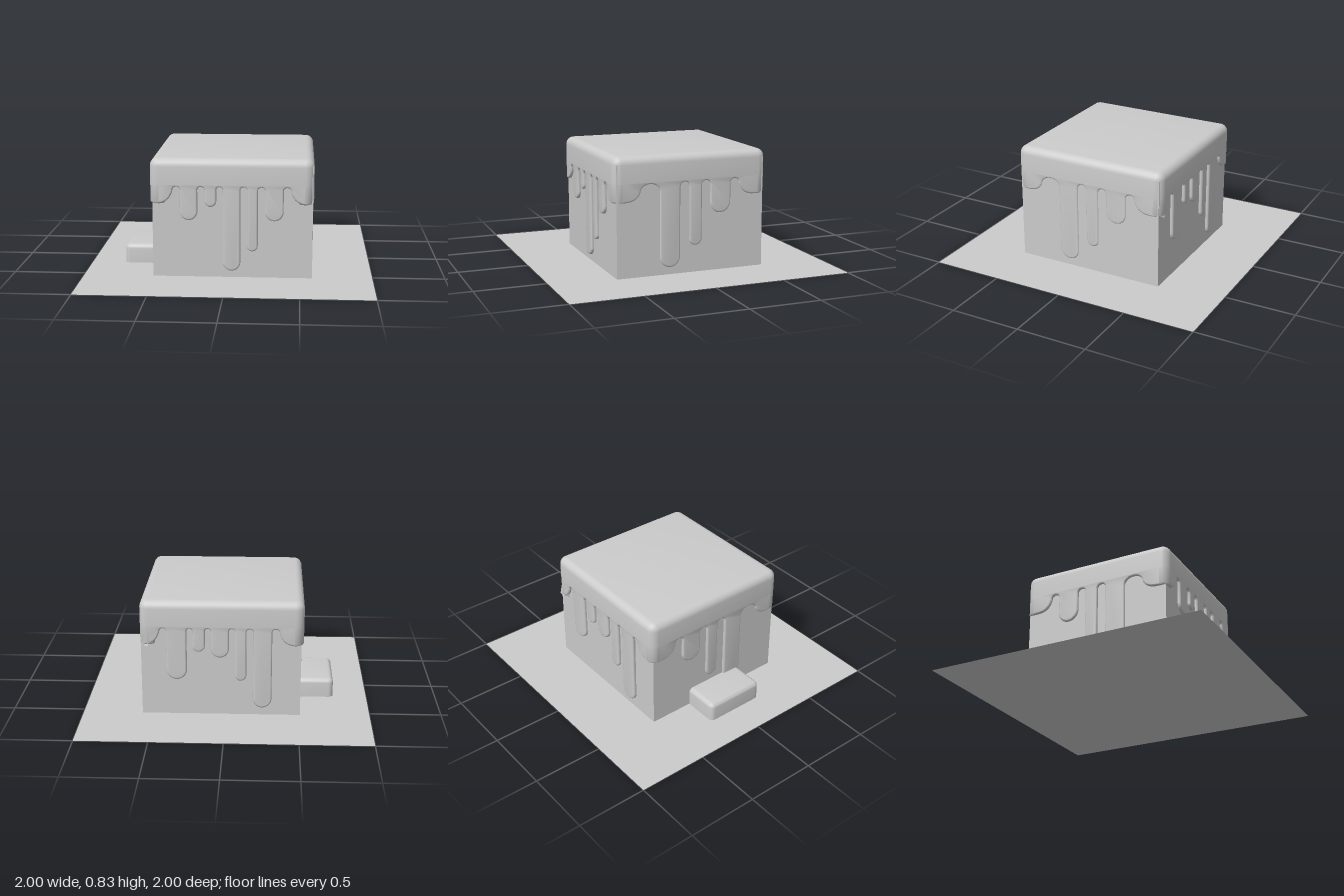
import * as THREE from 'three';
import { toCreasedNormals } from 'three/addons/utils/BufferGeometryUtils.js';

const HALF = 0.5625;   // half width of the icing
const CORNER = 0.06;   // radius of its upright corners
const HEM = 0.52;      // lower edge of the icing at the corners
const ARCH = 0.638;    // top of the gaps between drips

const grey = new THREE.MeshStandardMaterial({ color: 0xcccccc });
const greyThin = new THREE.MeshStandardMaterial({ color: 0xcccccc, side: THREE.DoubleSide });

function mesh(name, geometry, material = grey) {
  const m = new THREE.Mesh(geometry, material);
  m.name = name;
  return m;
}

// Open-bottomed block with rounded upright corners and a rounded top edge
function softBlock(w, d, r, edge, y0, y1, seg = 6) {
  const levels = [[y0, 0]];
  for (let k = 0; k <= seg; k++) {
    const a = (k / seg) * Math.PI / 2;
    levels.push([y1 - edge + edge * Math.sin(a), edge * (1 - Math.cos(a))]);
  }
  const pos = [], idx = [], n = 4 * (seg + 1);
  for (const [y, inset] of levels) {
    for (let q = 0; q < 4; q++) {
      const sx = q === 0 || q === 3 ? 1 : -1, sz = q < 2 ? 1 : -1;
      for (let k = 0; k <= seg; k++) {
        const a = (q + k / seg) * Math.PI / 2;
        pos.push(sx * (w / 2 - r) + (r - inset) * Math.cos(a), y, sz * (d / 2 - r) + (r - inset) * Math.sin(a));
      }
    }
  }
  for (let l = 0; l < levels.length - 1; l++) {
    for (let i = 0; i < n; i++) {
      const a = l * n + i, b = l * n + (i + 1) % n;
      idx.push(a, a + n, b, b, a + n, b + n);
    }
  }
  const top = (levels.length - 1) * n;
  pos.push(0, y1, 0);
  for (let i = 0; i < n; i++) idx.push(top + n, top + (i + 1) % n, top + i);
  const g = new THREE.BufferGeometry();
  g.setAttribute('position', new THREE.Float32BufferAttribute(pos, 3));
  g.setIndex(idx);
  return toCreasedNormals(g, 0.6);
}

// Icing skirt for one side: drips are [left, right, bottom], with round gaps between.
// gapLeft and gapRight are the outer ends of the first and last gap.
function dripPanel(drips, gapLeft, gapRight) {
  const end = HALF - CORNER + 0.012, bevel = 0.012, depth = 0.02;
  const s = new THREE.Shape();
  const shoulder = (a, b) => ARCH - Math.min(0.055, (b - a) / 2);
  const gap = (a, b) => {
    const y = shoulder(a, b);
    s.lineTo(a, y);
    s.absellipse((a + b) / 2, y, (b - a) / 2, ARCH - y, Math.PI, 0, true);
  };
  s.moveTo(-end, 0.68);
  s.lineTo(-end, HEM);
  s.lineTo(gapLeft - 0.105, HEM);
  s.quadraticCurveTo(gapLeft - 0.02, HEM + 0.005, gapLeft, shoulder(gapLeft, drips[0][0]));
  drips.forEach(([a, b, bottom], i) => {
    gap(i ? drips[i - 1][1] : gapLeft, a);
    const ry = (b - a) / 2;
    s.lineTo(a, bottom + ry);
    s.absellipse((a + b) / 2, bottom + ry, ry, ry, Math.PI, 2 * Math.PI, false);
  });
  const last = drips[drips.length - 1][1];
  gap(last, gapRight);
  s.quadraticCurveTo(gapRight + 0.02, HEM + 0.005, Math.min(gapRight + 0.105, end - 0.005), HEM);
  s.lineTo(end, HEM);
  s.lineTo(end, 0.68);
  const g = new THREE.ExtrudeGeometry(s, {
    depth, bevelEnabled: true, bevelThickness: bevel, bevelSize: bevel,
    bevelOffset: -bevel, bevelSegments: 3, curveSegments: 12,
  });
  g.translate(0, 0, HALF - 0.001 - bevel - depth);
  return toCreasedNormals(g, 0.8);
}

export function createModel() {
  const model = new THREE.Group();
  model.name = 'drippingBlock';

  // Ground sheet
  const sheet = mesh('groundSheet', new THREE.PlaneGeometry(2, 2), greyThin);
  sheet.rotation.x = -Math.PI / 2;
  model.add(sheet);

  // Main block
  const block = mesh('block', new THREE.BoxGeometry(1.1, 0.78, 1.08));
  block.position.set(0.035, 0.391, 0);
  model.add(block);

  // Step at the side
  const step = mesh('step', softBlock(0.3, 0.44, 0.035, 0.033, 0, 0.137));
  step.position.set(-0.61, 0, 0);
  model.add(step);

  // Icing: rounded top, four dripping sides and four corners
  const icing = new THREE.Group();
  icing.name = 'icing';
  icing.position.x = 0.03;
  icing.add(mesh('icingTop', softBlock(HALF * 2, HALF * 2, CORNER, 0.055, 0.65, 0.832)));

  const sides = [
    ['frontDrips', 0, -0.405, 0.405,
      [[-0.355, -0.235, 0.405], [-0.185, -0.105, 0.5], [-0.06, 0.06, 0.05], [0.105, 0.18, 0.19], [0.23, 0.355, 0.405]]],
    ['leftDrips', 1, -0.37, 0.355,
      [[-0.23, -0.08, 0.05], [-0.015, 0.08, 0.19], [0.14, 0.295, 0.405]]],
    ['backDrips', 2, -0.425, 0.395,
      [[-0.38, -0.24, 0.265], [-0.2, -0.115, 0.47], [-0.075, 0.05, 0.43], [0.09, 0.17, 0.26], [0.215, 0.345, 0.06]]],
    ['rightDrips', 3, -0.355, 0.37,
      [[-0.295, -0.14, 0.405], [-0.08, 0.015, 0.19], [0.08, 0.23, 0.06]]],
  ];
  for (const [name, turn, gapLeft, gapRight, drips] of sides) {
    const panel = mesh(name, dripPanel(drips, gapLeft, gapRight));
    panel.rotation.y = turn * Math.PI / 2;
    icing.add(panel);
  }

  const r = CORNER - 0.0005;
  const profile = [[0, HEM], [r - 0.012, HEM], [r - 0.004, HEM + 0.004], [r, HEM + 0.012], [r, 0.67]]
    .map(([x, y]) => new THREE.Vector2(x, y));
  const cornerGeometry = toCreasedNormals(new THREE.LatheGeometry(profile, 24), 0.8);
  for (const sx of [-1, 1]) {
    for (const sz of [-1, 1]) {
      const corner = mesh('icingCorner', cornerGeometry);
      corner.position.set(sx * (HALF - CORNER), 0, sz * (HALF - CORNER));
      icing.add(corner);
    }
  }
  model.add(icing);
  return model;
}
